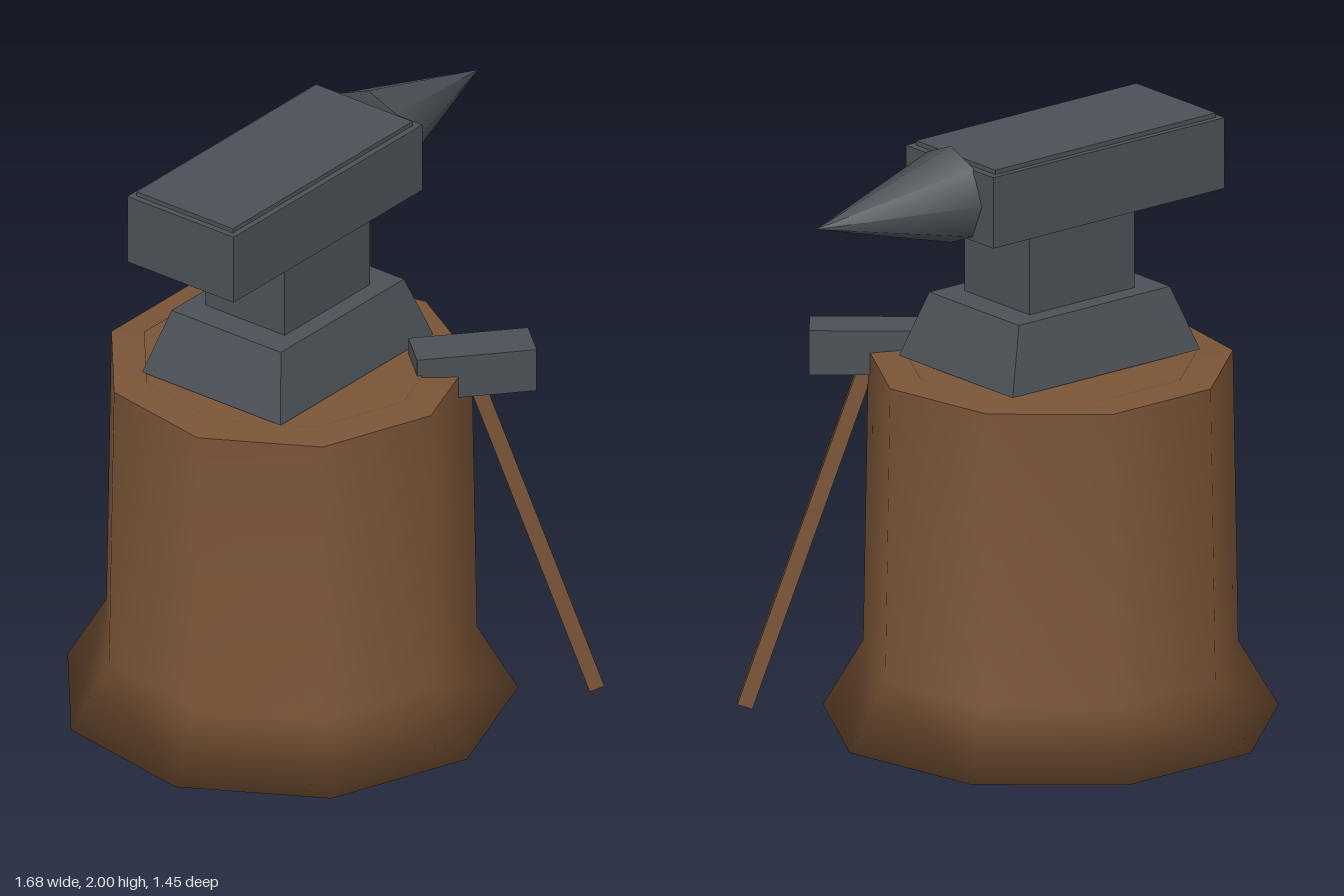
import * as THREE from 'three';

export function createModel() {
  const root = new THREE.Group();
  root.name = 'anvilOnStump';
  const wood = new THREE.MeshStandardMaterial({ name: 'wood', color: 0x7a5436 });
  const steel = new THREE.MeshStandardMaterial({ name: 'steel', color: 0x4b5157 });

  const add = (parent, name, geometry, material, x = 0, y = 0, z = 0) => {
    const mesh = new THREE.Mesh(geometry, material);
    mesh.name = name;
    mesh.position.set(x, y, z);
    parent.add(mesh);
    return mesh;
  };
  const lathe = (pts) => new THREE.LatheGeometry(pts.map(([r, y]) => new THREE.Vector2(r, y)), 9);

  // Nine-sided stump with flared foot, a sloping rim and a low crown
  const stump = new THREE.Group();
  stump.name = 'stump';
  stump.position.set(-0.127, 0, -0.045);
  root.add(stump);
  add(stump, 'stumpBody', lathe([[0, 0.02], [0.73, 0.02], [0.601, 0.24], [0.584, 1.205]]), wood);
  add(stump, 'stumpRim', lathe([[0.584, 1.205], [0.475, 1.215]]), wood);
  add(stump, 'stumpCrown', lathe([[0.475, 1.2], [0.475, 1.222], [0, 1.232]]), wood);

  // Anvil, stacked from foot to face
  const anvil = new THREE.Group();
  anvil.name = 'anvil';
  anvil.position.z = -0.042;
  root.add(anvil);
  const foot = new THREE.BoxGeometry(0.77, 0.21, 0.56);
  const p = foot.attributes.position;
  for (let i = 0; i < p.count; i++) {
    if (p.getY(i) > 0) {
      p.setX(i, p.getX(i) * 0.805);
      p.setZ(i, p.getZ(i) * 0.79);
    }
  }
  foot.computeVertexNormals();
  add(anvil, 'anvilFoot', foot, steel, -0.125, 1.335, 0);
  add(anvil, 'anvilWaist', new THREE.BoxGeometry(0.43, 0.29, 0.32), steel, -0.125, 1.575, 0);
  add(anvil, 'anvilBody', new THREE.BoxGeometry(0.95, 0.235, 0.43), steel, -0.19, 1.8325, 0);
  add(anvil, 'anvilFace', new THREE.BoxGeometry(0.905, 0.03, 0.39), steel, -0.192, 1.95, 0);
  const horn = new THREE.ConeGeometry(0.16, 0.555, 8);
  horn.rotateZ(-Math.PI / 2);
  add(anvil, 'anvilHorn', horn, steel, 0.5585, 1.84, 0);

  // Hammer leaning on the stump; its local x axis points away from the stump
  const hammer = new THREE.Group();
  hammer.name = 'hammer';
  hammer.position.set(0.218, 1.205, 0.43);
  hammer.rotation.y = -0.71;
  root.add(hammer);
  add(hammer, 'hammerHead', new THREE.BoxGeometry(0.384, 0.147, 0.149), steel);
  const top = new THREE.Vector2(0, -0.03);
  const end = new THREE.Vector2(0.395, -1.193);
  const run = end.clone().sub(top);
  const handle = add(hammer, 'hammerHandle', new THREE.BoxGeometry(0.05, run.length(), 0.05), wood,
    (top.x + end.x) / 2, (top.y + end.y) / 2, 0);
  handle.rotation.z = Math.atan2(run.x, -run.y);

  return root;
}
